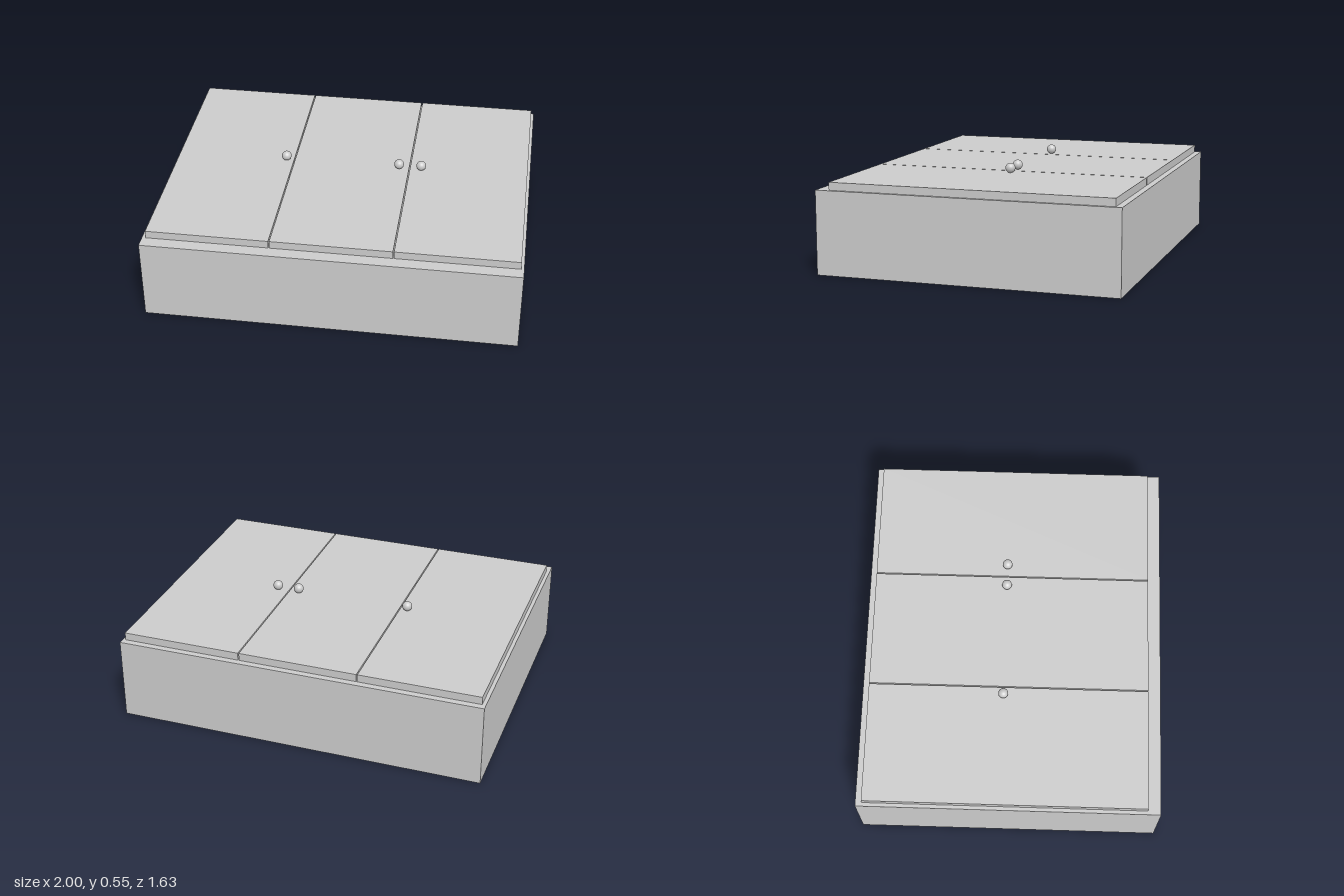
import * as THREE from 'three';

const material = new THREE.MeshStandardMaterial({ color: 0xcccccc });

function add(group, name, geometry, x, y, z) {
  const mesh = new THREE.Mesh(geometry, material);
  mesh.name = name;
  mesh.position.set(x, y, z);
  group.add(mesh);
}

export function createModel() {
  const group = new THREE.Group();
  group.name = 'cabinet';

  // Cabinet body lying on its back
  const bodyHeight = 0.45;
  add(group, 'body', new THREE.BoxGeometry(2, bodyHeight, 1.63), 0, bodyHeight / 2, 0);

  // Three door panels with narrow gaps, each with a round knob
  const doors = [
    { name: 'right', x0: -0.98, x1: -0.326, knob: -0.367 },
    { name: 'middle', x0: -0.32, x1: 0.326, knob: 0.27 },
    { name: 'left', x0: 0.332, x1: 0.984, knob: 0.394 },
  ];
  const thickness = 0.042, zBack = -0.78, zFront = 0.745;
  for (const { name, x0, x1, knob } of doors) {
    add(group, `${name}Door`, new THREE.BoxGeometry(x1 - x0, thickness, zFront - zBack),
      (x0 + x1) / 2, bodyHeight + thickness / 2, (zBack + zFront) / 2);
    add(group, `${name}Knob`, new THREE.SphereGeometry(0.027, 32, 20), knob, 0.518, -0.045);
  }
  return group;
}
